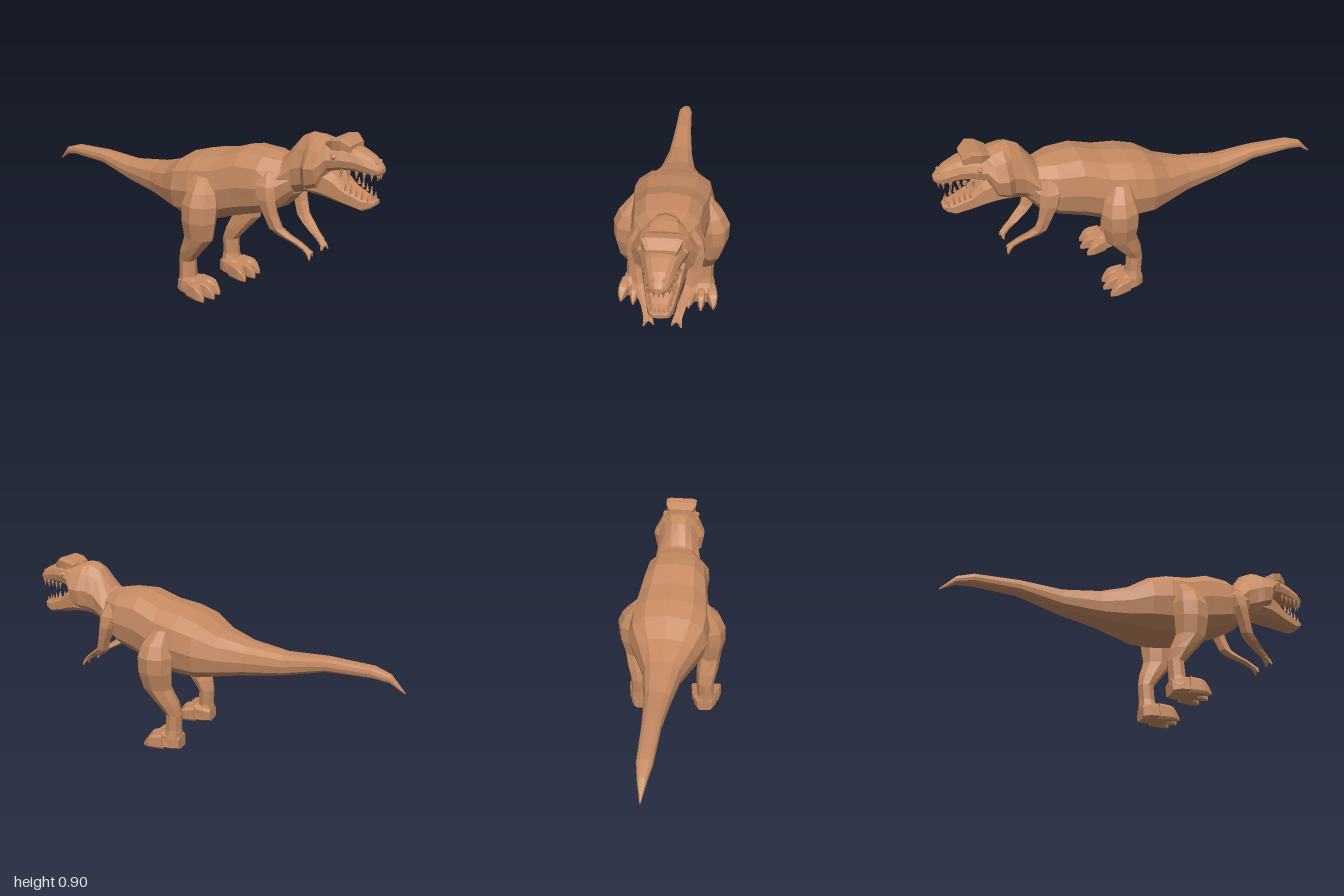
import * as THREE from 'three';

const skin = new THREE.MeshStandardMaterial({ color: 0xc58a62, flatShading: true, side: THREE.DoubleSide });

// signed power: exponent below 1 makes an ellipse boxier
const sp = (v, e) => Math.sign(v) * Math.pow(Math.abs(v), e);

// cross-section across z: [z, centreX, halfWidth, top, bottom, narrowing of the upper half]
function zRing([z, cx, w, top, bot, taper = 0], n, e, turn = Math.PI / 2) {
  return Array.from({ length: n }, (_, i) => {
    const a = turn + (i / n) * Math.PI * 2;
    const v = sp(Math.sin(a), e);
    return [cx + w * sp(Math.cos(a), e) * (1 - taper * Math.max(0, v)), (top + bot) / 2 + ((top - bot) / 2) * v, z];
  });
}

// horizontal cross-section: [y, centreX, centreZ, radiusX, radiusZ]
function yRing([y, cx, cz, rx, rz], n) {
  return Array.from({ length: n }, (_, i) => {
    const a = (i / n) * Math.PI * 2;
    return [cx + rx * Math.sin(a), y, cz + rz * Math.cos(a)];
  });
}

// skin a list of rings and close both ends
function loft(name, rings) {
  const n = rings[0].length, index = [];
  for (let r = 0; r < rings.length - 1; r++) {
    for (let j = 0; j < n; j++) {
      const a = r * n + j, b = r * n + ((j + 1) % n);
      index.push(a, b, b + n, a, b + n, a + n);
    }
  }
  const last = (rings.length - 1) * n;
  for (let j = 1; j < n - 1; j++) {
    index.push(0, j + 1, j);
    index.push(last, last + j, last + j + 1);
  }
  const g = new THREE.BufferGeometry();
  g.setAttribute('position', new THREE.Float32BufferAttribute(rings.flat(2), 3));
  g.setIndex(index);
  g.computeVertexNormals();
  const m = new THREE.Mesh(g, skin);
  m.name = name;
  return m;
}
const loftZ = (name, rows, n, e, turn) => loft(name, rows.map(r => zRing(r, n, e, turn)));
const loftY = (name, rows, n) => loft(name, rows.map(r => yRing(r, n)));

function tooth(x, y, z, h, dir) {
  const m = new THREE.Mesh(new THREE.ConeGeometry(0.009, h, 4), skin);
  m.position.set(x, y + (dir * h) / 2, z);
  if (dir < 0) m.rotation.x = Math.PI;
  m.name = dir < 0 ? 'upperTooth' : 'lowerTooth';
  return m;
}

function makeHead() {
  const head = new THREE.Group();
  head.name = 'head';
  const c = 0.013;
  // neck, skull and upper jaw
  head.add(loftZ('skull', [
    [0.47, 0, 0.13, 0.745, 0.52, 0.5], [0.54, 0.004, 0.125, 0.765, 0.56, 0.5], [0.61, 0.01, 0.108, 0.86, 0.595, 0.5],
    [0.66, c, 0.112, 0.885, 0.61, 0.4], [0.69, c, 0.138, 0.882, 0.62, 0.4], [0.74, c, 0.136, 0.868, 0.645, 0.3],
    [0.775, c, 0.108, 0.862, 0.735, 0.15], [0.83, c, 0.088, 0.86, 0.75, 0.1], [0.89, c, 0.068, 0.852, 0.752, 0.1],
    [0.95, c, 0.053, 0.828, 0.745, 0.2], [0.985, c, 0.036, 0.8, 0.748, 0.2], [1, c, 0.016, 0.785, 0.76],
  ], 12, 0.75));
  // lower jaw
  head.add(loftZ('lowerJaw', [
    [0.68, c, 0.105, 0.75, 0.62], [0.75, c, 0.097, 0.75, 0.615], [0.8, c, 0.084, 0.725, 0.605],
    [0.85, c, 0.072, 0.68, 0.597], [0.93, c, 0.055, 0.645, 0.582], [0.965, c, 0.043, 0.638, 0.6],
    [0.98, c, 0.025, 0.633, 0.615],
  ], 8, 0.6, Math.PI / 8));
  // brow shelf flaring to its upper corners, with eyes and nostrils
  head.add(loftZ('brow', [
    [0.75, c, 0.06, 0.868, 0.83, -0.1], [0.79, c, 0.08, 0.89, 0.83, -0.1],
    [0.83, c, 0.08, 0.898, 0.84, -0.1], [0.87, c, 0.058, 0.868, 0.83, -0.1],
  ], 8, 0.35, Math.PI / 8));
  for (const s of [-1, 1]) {
    const eye = new THREE.Mesh(new THREE.IcosahedronGeometry(0.016, 0), skin);
    eye.position.set(c + s * 0.088, 0.815, 0.805);
    eye.name = 'eye';
    const nostril = new THREE.Mesh(new THREE.IcosahedronGeometry(0.009, 0), skin);
    nostril.position.set(c + s * 0.02, 0.805, 0.972);
    nostril.name = 'nostrilRidge';
    head.add(eye, nostril);
    // side teeth follow the taper of both jaws
    for (let i = 0; i < 5; i++) {
      const t = i / 4;
      head.add(tooth(c + s * (0.072 - 0.032 * t), 0.76, 0.84 + 0.125 * t, i % 2 ? 0.045 : 0.035, -1));
      head.add(tooth(c + s * (0.06 - 0.026 * t), 0.67 - 0.04 * t, 0.86 + 0.095 * t, i % 2 ? 0.045 : 0.035, 1));
    }
  }
  for (const x of [-0.018, 0, 0.018]) {
    head.add(tooth(c + x, 0.762, 0.982, 0.04, -1), tooth(c + x, 0.625, 0.965, 0.035, 1));
  }
  return head;
}

function makeLeg(s) {
  const leg = new THREE.Group();
  leg.name = s > 0 ? 'leftLeg' : 'rightLeg';
  // the right leg stands a little wider
  const X = (x, y) => s * x - (s < 0 ? 0.042 * Math.max(0, 1 - y / 0.5) : 0);
  leg.add(loftY('thighAndShin', [
    [0.06, 0.16, 0.118, 0.06, 0.05], [0.11, 0.163, 0.112, 0.046, 0.042], [0.19, 0.165, 0.107, 0.046, 0.042],
    [0.25, 0.176, 0.137, 0.056, 0.061], [0.33, 0.192, 0.186, 0.059, 0.08], [0.42, 0.205, 0.19, 0.073, 0.092],
    [0.5, 0.2, 0.19, 0.082, 0.094], [0.56, 0.185, 0.188, 0.07, 0.076], [0.625, 0.16, 0.172, 0.037, 0.045],
  ].map(([y, x, ...r]) => [y, X(x, y), ...r]), 8));
  // flat pad and three splayed, clawed toes
  const foot = new THREE.Group();
  foot.name = 'foot';
  foot.add(loftZ('footPad', [
    [0.072, 0, 0.04, 0.07, 0], [0.105, 0, 0.06, 0.085, 0], [0.16, 0, 0.072, 0.092, 0, 0.2], [0.205, 0, 0.06, 0.065, 0],
  ], 8, 0.45, Math.PI / 8));
  for (const k of [-1, 0, 1]) {
    const reach = k ? -0.015 : 0, w = k ? 0.027 : 0.021;
    foot.add(loftZ('toe', [
      [0.15, k * 0.046, w, 0.083, 0], [0.2, k * 0.055, w, 0.076, 0],
      [0.235 + reach, k * 0.059, w * 0.9, 0.068, 0],
      [0.25 + reach, k * 0.062, w * 0.65, 0.052, 0], [0.272 + reach, k * 0.064, 0.005, 0.02, 0],
    ], 8, 0.4, Math.PI / 8));
  }
  foot.position.set(X(0.153, 0), s < 0 ? 0.018 : 0, 0);
  if (s < 0) foot.rotation.z = -0.07;
  leg.add(foot);
  return leg;
}

function makeArm(s) {
  const arm = new THREE.Group();
  arm.name = s > 0 ? 'leftArm' : 'rightArm';
  const side = rows => rows.map(([y, x, ...r]) => [y, s * x, ...r]);
  arm.add(loftY('upperAndLowerArm', side([
    [0.36, 0.07, 0.69, 0.02, 0.02], [0.385, 0.08, 0.65, 0.023, 0.028], [0.415, 0.103, 0.6, 0.028, 0.038],
    [0.445, 0.118, 0.562, 0.032, 0.036], [0.51, 0.13, 0.538, 0.036, 0.036], [0.58, 0.137, 0.515, 0.04, 0.048],
    [0.64, 0.132, 0.5, 0.038, 0.055], [0.7, 0.105, 0.49, 0.025, 0.04],
  ]), 6));
  for (const [tip, z] of [[0.04, 0.712], [0.083, 0.722]]) {
    arm.add(loftY('finger', side([
      [0.318, tip, z, 0.004, 0.004], [0.342, (tip + 0.065) / 2, 0.71, 0.013, 0.013], [0.39, 0.075, 0.65, 0.012, 0.018],
    ]), 5));
  }
  return arm;
}

export function createModel() {
  const model = new THREE.Group();
  model.name = 'dinosaur';
  // tail, belly, back and chest in one sweep
  model.add(loftZ('bodyAndTail', [
    [-1, 0, 0.002, 0.455, 0.447], [-0.93, 0, 0.022, 0.53, 0.49], [-0.85, 0, 0.037, 0.556, 0.502],
    [-0.63, 0, 0.045, 0.566, 0.495], [-0.42, 0, 0.064, 0.555, 0.44], [-0.23, 0, 0.096, 0.58, 0.41],
    [-0.1, 0, 0.15, 0.617, 0.388], [0, 0, 0.198, 0.68, 0.37], [0.1, 0, 0.205, 0.712, 0.37],
    [0.22, 0, 0.192, 0.732, 0.385], [0.34, 0, 0.174, 0.775, 0.43], [0.46, 0, 0.163, 0.77, 0.47],
    [0.55, 0, 0.135, 0.755, 0.52, 0.3], [0.61, 0, 0.09, 0.76, 0.59, 0.4],
  ], 12, 0.8));
  model.add(makeHead());
  for (const s of [1, -1]) model.add(makeLeg(s), makeArm(s));
  return model;
}
